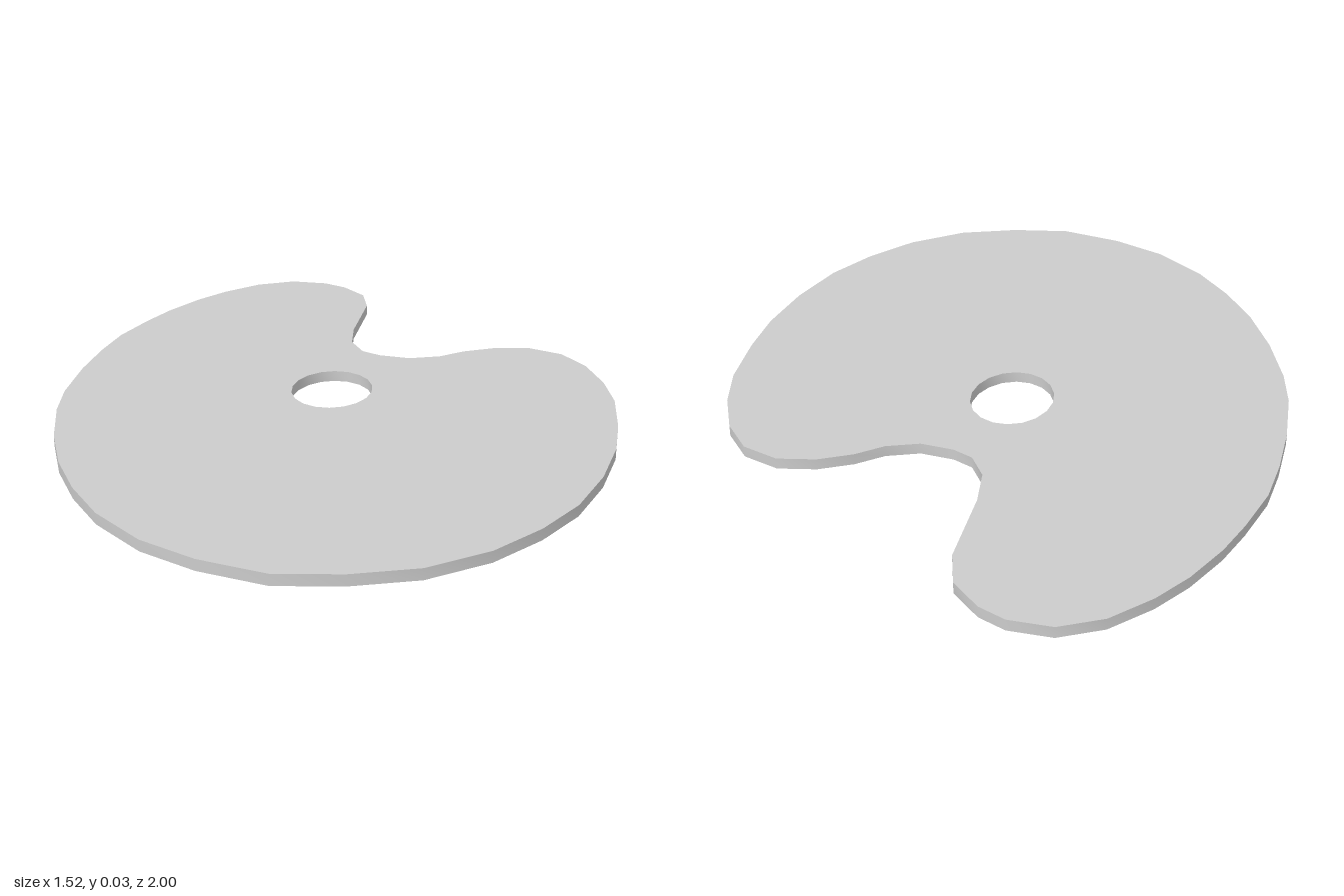
import * as THREE from 'three';
import { toCreasedNormals } from 'three/addons/utils/BufferGeometryUtils.js';

const THICKNESS = 0.03;

// Board outline as [x, z], running round from the back lobe
const OUTLINE = [
  // back lobe and thumb notch
  [-0.345, -1], [-0.235, -1], [-0.165, -0.97], [-0.09, -0.9], [-0.06, -0.8],
  [-0.06, -0.57], [-0.045, -0.46], [0, -0.39], [0.055, -0.365], [0.145, -0.357],
  [0.23, -0.39], [0.295, -0.445],
  // short lobe and left edge
  [0.38, -0.49], [0.48, -0.51], [0.58, -0.476], [0.655, -0.39], [0.71, -0.27],
  [0.745, -0.14], [0.76, 0.035], [0.76, 0.185], [0.735, 0.36], [0.685, 0.53],
  [0.61, 0.67], [0.51, 0.8], [0.37, 0.91], [0.21, 0.97],
  // front and right edge
  [0.045, 1], [-0.13, 0.965], [-0.28, 0.9], [-0.42, 0.79], [-0.52, 0.67],
  [-0.605, 0.535], [-0.675, 0.38], [-0.73, 0.21], [-0.755, 0.08], [-0.765, -0.095],
  [-0.76, -0.25], [-0.745, -0.385], [-0.705, -0.525], [-0.665, -0.635],
  [-0.605, -0.755], [-0.54, -0.85], [-0.45, -0.945],
];

export function createModel() {
  const group = new THREE.Group();
  group.name = 'paintPalette';

  const shape = new THREE.Shape(OUTLINE.map(([x, z]) => new THREE.Vector2(x, -z)));

  // Oval thumb hole
  const hole = new THREE.EllipseCurve(-0.03, 0.077, 0.112, 0.138, 0, Math.PI * 2);
  shape.holes.push(new THREE.Path(hole.getPoints(18).slice(0, -1)));

  // Flat board lying on the ground
  const geometry = new THREE.ExtrudeGeometry(shape, { depth: THICKNESS, bevelEnabled: false });
  geometry.rotateX(-Math.PI / 2);

  const board = new THREE.Mesh(
    toCreasedNormals(geometry, 0.8),
    new THREE.MeshStandardMaterial({ color: 0xcccccc })
  );
  board.name = 'board';
  group.add(board);
  return group;
}
